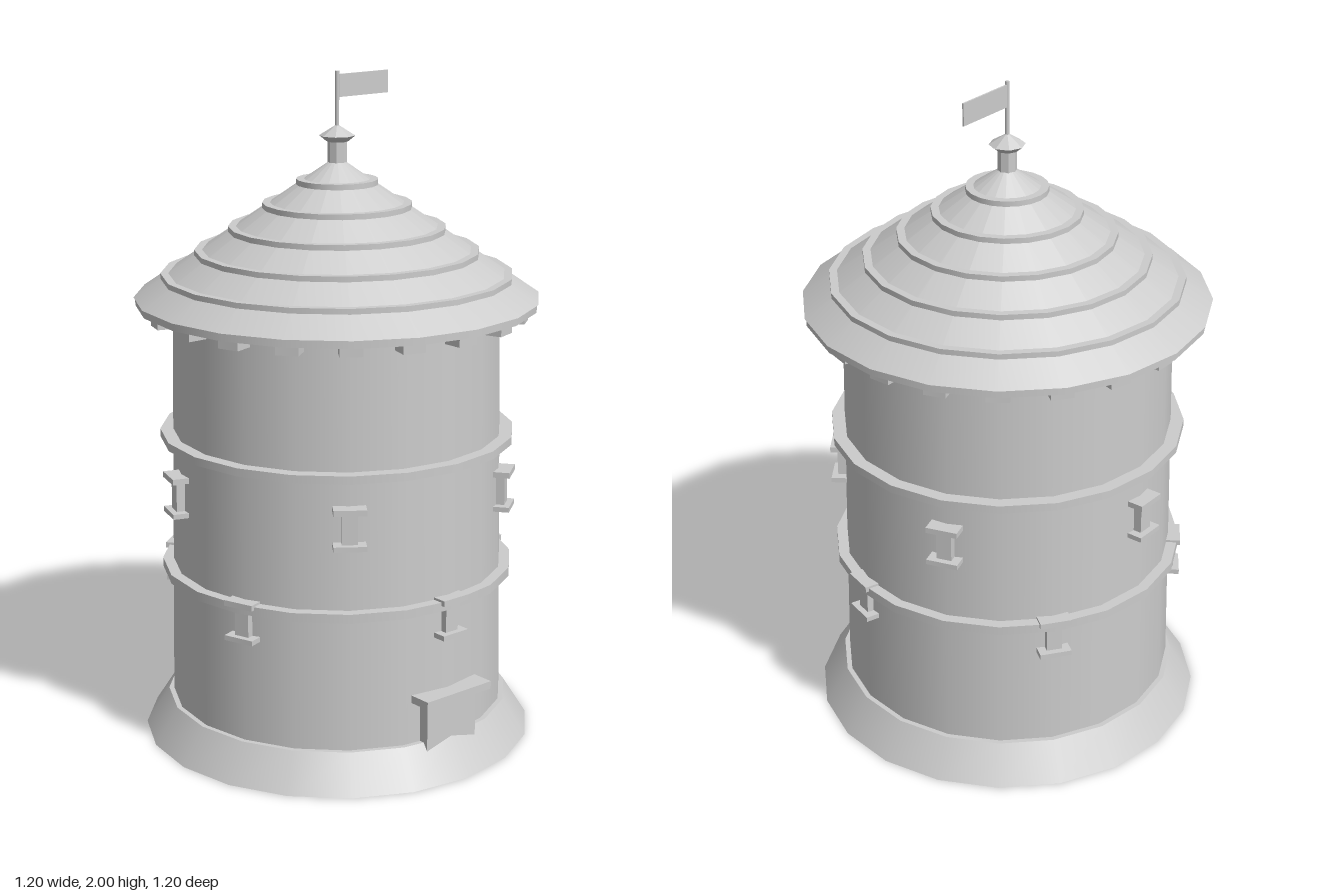
import * as THREE from 'three';

const SIDES = 20;
const stone = new THREE.MeshStandardMaterial({ color: 0xcccccc });
stone.name = 'plain grey';

function add(parent, name, geometry, x = 0, y = 0, z = 0) {
  const mesh = new THREE.Mesh(geometry, stone);
  mesh.name = name;
  mesh.position.set(x, y, z);
  parent.add(mesh);
  return mesh;
}

// Upright drum or frustum given by its bottom and top heights
function drum(parent, name, rTop, rBottom, y0, y1, sides = SIDES) {
  return add(parent, name, new THREE.CylinderGeometry(rTop, rBottom, y1 - y0, sides), 0, (y0 + y1) / 2, 0);
}

// Box given by width, height range and radial range, facing +z
function block(parent, name, width, y0, y1, z0, z1) {
  return add(parent, name, new THREE.BoxGeometry(width, y1 - y0, z1 - z0), 0, (y0 + y1) / 2, (z0 + z1) / 2);
}

// Group turned about the tower axis
function turned(parent, name, angle) {
  const group = new THREE.Group();
  group.name = name;
  group.rotation.y = angle;
  parent.add(group);
  return group;
}

// Five slit windows evenly spaced around one storey
function windowRow(parent, y, start) {
  for (let i = 0; i < 5; i++) {
    const win = turned(parent, 'window', start + (i * Math.PI * 2) / 5);
    block(win, 'windowPanel', 0.046, y - 0.05, y + 0.05, 0.46, 0.516);
    block(win, 'windowLintel', 0.095, y + 0.045, y + 0.062, 0.46, 0.534);
    block(win, 'windowSill', 0.095, y - 0.06, y - 0.045, 0.46, 0.534);
  }
}

export function createModel() {
  const tower = new THREE.Group();
  tower.name = 'roundTower';

  // Walls, flared foot and string courses
  drum(tower, 'base', 0.52, 0.59, 0, 0.11);
  drum(tower, 'wall', 0.485, 0.505, 0.1, 1.33);
  drum(tower, 'lowerBand', 0.53, 0.53, 0.508, 0.535);
  drum(tower, 'upperBand', 0.53, 0.53, 0.918, 0.942);

  // Door with projecting lintel
  const door = turned(tower, 'door', 0);
  block(door, 'doorPanel', 0.19, 0.02, 0.235, 0.45, 0.52);
  block(door, 'doorLintel', 0.25, 0.235, 0.258, 0.45, 0.553);

  windowRow(tower, 0.48, 0);
  windowRow(tower, 0.782, Math.PI / 5);

  // Eave and the small brackets beneath it
  drum(tower, 'eave', 0.595, 0.595, 1.32, 1.345);
  for (let i = 0; i < SIDES; i++) {
    const bracket = turned(tower, 'bracket', (i * Math.PI * 2) / SIDES);
    block(bracket, 'bracketBlock', 0.066, 1.29, 1.325, 0.505, 0.565);
  }

  // Conical roof with stepped rings
  const roofBase = 1.343, apex = 1.755, roofRadius = 0.6;
  drum(tower, 'roofCone', 0, roofRadius, roofBase, apex);
  for (const r of [0.52, 0.42, 0.32, 0.22, 0.12]) {
    const y = roofBase + (apex - roofBase) * (1 - r / roofRadius);
    drum(tower, 'roofRing', r, r, y - 0.002, y + 0.016);
  }

  // Finial: post, flared collar and faceted cap
  const cut = (g) => g.toNonIndexed();
  const finial = turned(tower, 'finial', 0);
  const pieces = [
    ['finialPost', 0.028, 0.028, 1.73, 1.8],
    ['finialCollar', 0.053, 0.032, 1.797, 1.814],
    ['finialCap', 0, 0.053, 1.814, 1.847],
  ];
  for (const [name, top, bottom, y0, y1] of pieces) {
    const mesh = drum(finial, name, top, bottom, y0, y1, 8);
    mesh.geometry = cut(mesh.geometry);
    mesh.geometry.computeVertexNormals();
  }

  // Flagpole and flag
  drum(tower, 'flagpole', 0.006, 0.006, 1.83, 2, 8);
  add(tower, 'flag', new THREE.BoxGeometry(0.19, 0.066, 0.005), 0.098, 1.957, 0);

  return tower;
}
